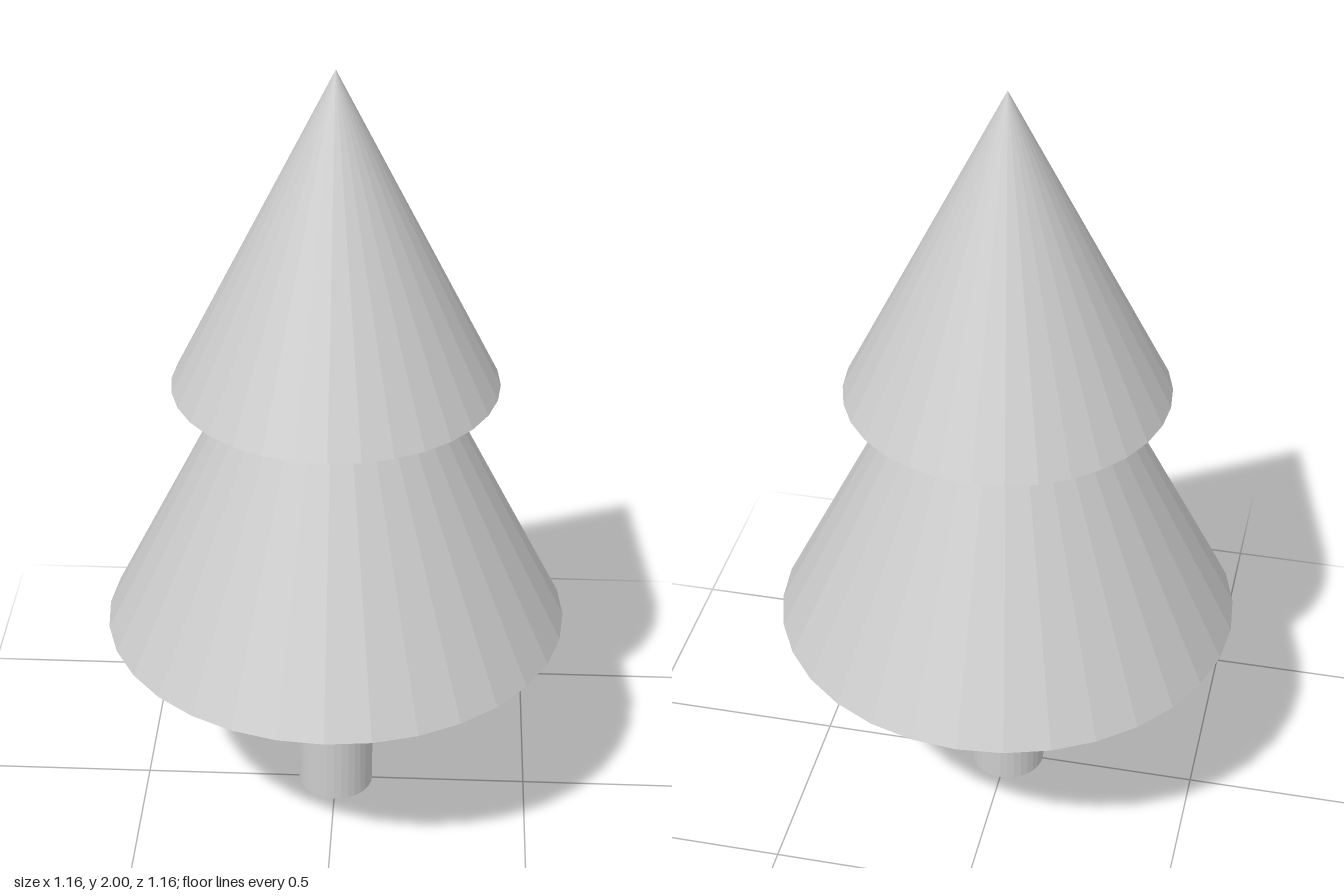
import * as THREE from 'three';

const SIDES = 32;

export function createModel() {
  const group = new THREE.Group();
  const material = new THREE.MeshStandardMaterial({ color: 0xcccccc, flatShading: true });

  // Adds a part whose base sits at height y
  const add = (name, geometry, height, y) => {
    const mesh = new THREE.Mesh(geometry, material);
    mesh.name = name;
    mesh.position.y = y + height / 2;
    group.add(mesh);
  };
  const addCone = (name, radius, height, y) =>
    add(name, new THREE.ConeGeometry(radius, height, SIDES), height, y);

  // Trunk, set slightly into the lower foliage
  add('trunk', new THREE.CylinderGeometry(0.097, 0.097, 0.56, SIDES), 0.56, 0);

  // Two tiers of foliage, the lower tip hidden inside the upper cone
  addCone('lowerFoliage', 0.58, 1.16, 0.54);
  addCone('upperFoliage', 0.4, 0.8, 1.2);

  return group;
}
